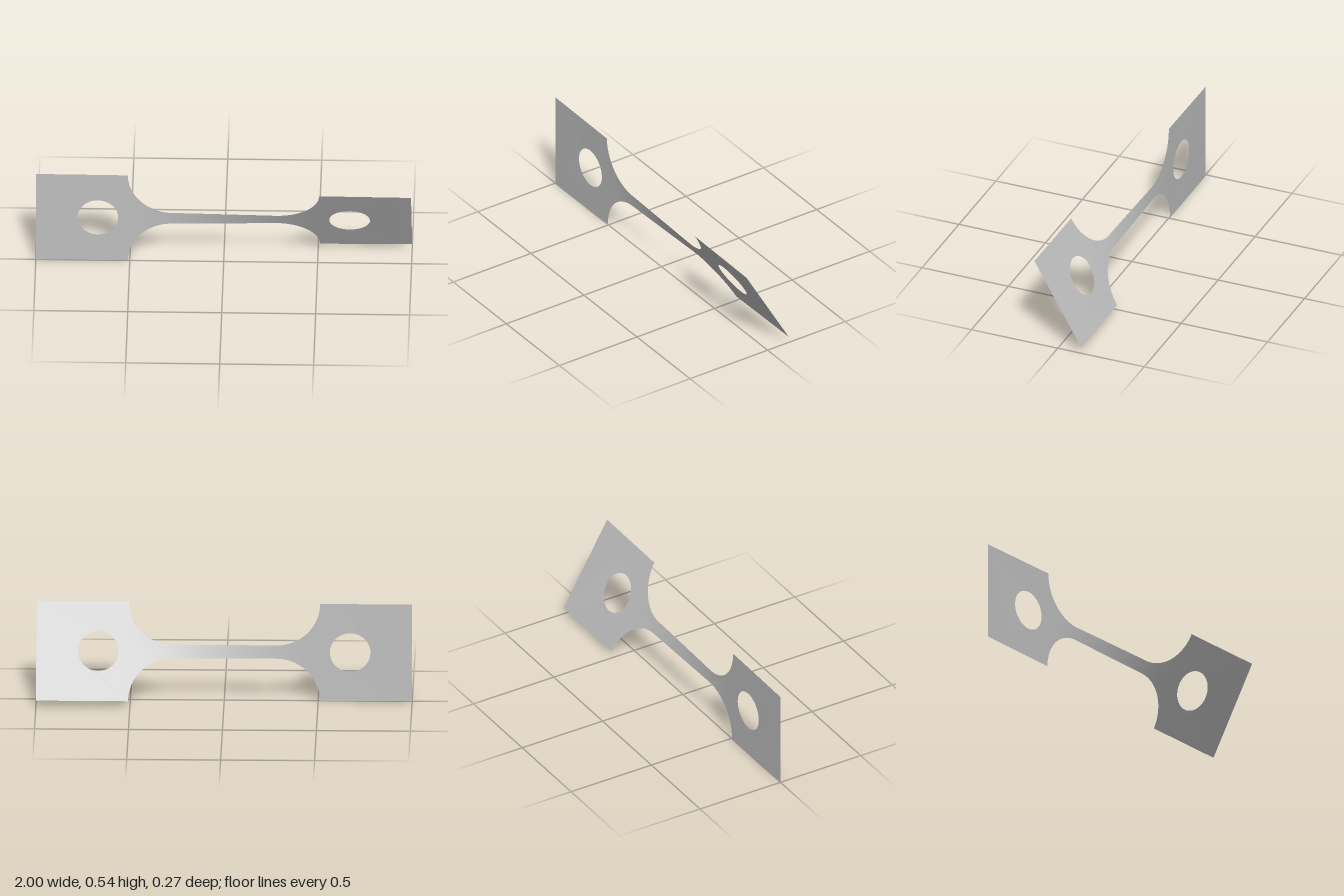
import * as THREE from 'three';

const H = 0.271;          // half height of the end plates
const NECK = 0.036;       // half height of the neck
const EDGE = 0.51;        // where the plates end and the fillets begin
const HOLE_X = 0.67, HOLE_R = 0.108;
const R = H - NECK;       // fillet radius
const TWIST = Math.PI / 6;

// Columns [x, half height] along the gauge section: fillet, neck, fillet
function makeColumns() {
  const left = [];
  for (let i = 0; i <= 24; i++) {
    const a = (i / 24) * Math.PI / 2;
    left.push([-EDGE + R * (1 - Math.cos(a)), H - R * Math.sin(a)]);
  }
  const x0 = -EDGE + R, neck = [];
  for (let i = 1; i < 32; i++) neck.push([x0 - 2 * x0 * i / 32, NECK]);
  const right = left.map(([x, h]) => [-x, h]).reverse();
  return [...left, ...neck, ...right];
}

// The twist builds up faster where the strip is narrower
function makeTwist(columns) {
  const pts = [[-HOLE_X, H], ...columns, [HOLE_X, H]];
  const sum = [0];
  for (let i = 1; i < pts.length; i++) {
    sum.push(sum[i - 1] + (pts[i][0] - pts[i - 1][0]) * 2 / (pts[i][1] + pts[i - 1][1]));
  }
  const total = sum[sum.length - 1];
  return (x) => {
    if (x <= -HOLE_X) return 0;
    if (x >= HOLE_X) return TWIST;
    const i = pts.findIndex((p) => p[0] > x);
    const t = (x - pts[i - 1][0]) / (pts[i][0] - pts[i - 1][0]);
    return TWIST * (sum[i - 1] + t * (sum[i] - sum[i - 1])) / total;
  };
}

export function createModel() {
  const group = new THREE.Group();
  group.name = 'twistedTestStrip';
  const metal = new THREE.MeshStandardMaterial({ color: 0xc0c0c0, side: THREE.DoubleSide });
  metal.name = 'light grey metal';

  const columns = makeColumns();
  const twist = makeTwist(columns);

  // Rotate every vertex about the long axis and lift the sheet onto the ground
  function addSheet(geometry, name) {
    const p = geometry.attributes.position;
    for (let i = 0; i < p.count; i++) {
      const x = p.getX(i), y = p.getY(i), a = twist(x);
      p.setXYZ(i, x, H + y * Math.cos(a), y * Math.sin(a));
    }
    geometry.computeVertexNormals();
    const mesh = new THREE.Mesh(geometry, metal);
    mesh.name = name;
    group.add(mesh);
  }

  // Narrow gauge section with its fillets
  const n = columns.length - 1;
  const gauge = new THREE.PlaneGeometry(1, 1, n, 8);
  const p = gauge.attributes.position;
  for (let i = 0; i < p.count; i++) {
    const [x, h] = columns[Math.round((p.getX(i) + 0.5) * n)];
    p.setXY(i, x, p.getY(i) * 2 * h);
  }
  addSheet(gauge, 'gaugeSection');

  // End plates with a round hole
  for (const [side, name] of [[-1, 'rightEndPlate'], [1, 'leftEndPlate']]) {
    const inner = side * EDGE, outer = side;
    const shape = new THREE.Shape([
      new THREE.Vector2(inner, -H), new THREE.Vector2(outer, -H),
      new THREE.Vector2(outer, H), new THREE.Vector2(inner, H),
    ]);
    const hole = new THREE.Path();
    hole.absarc(side * HOLE_X, 0, HOLE_R, 0, Math.PI * 2, true);
    shape.holes.push(hole);
    addSheet(new THREE.ShapeGeometry(shape, 24), name);
  }
  return group;
}
